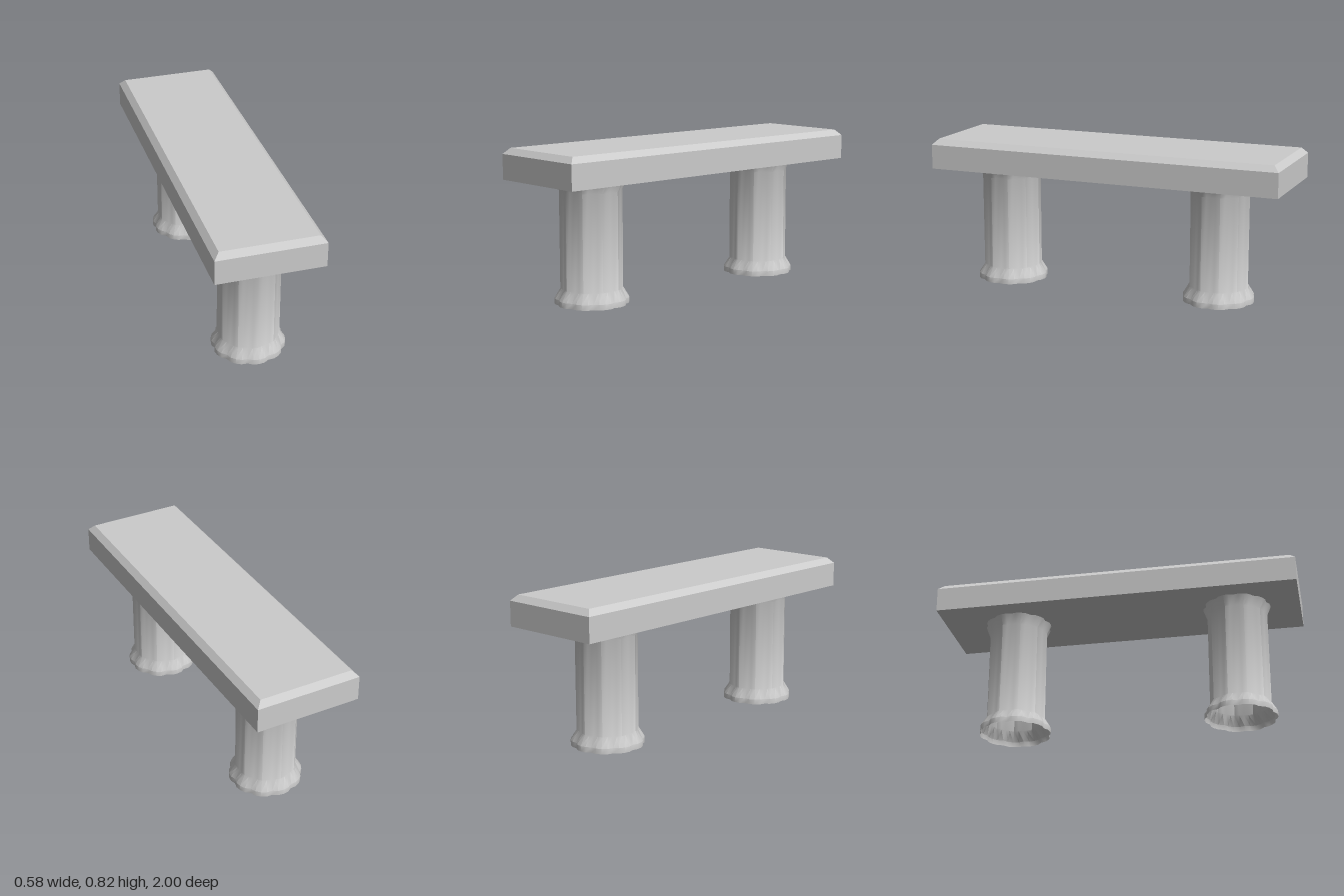
import * as THREE from 'three';
import { toCreasedNormals } from 'three/addons/utils/BufferGeometryUtils.js';

const material = new THREE.MeshStandardMaterial({ color: 0xcccccc, side: THREE.DoubleSide });

const SIDES = 10; // faces of the shaft, lobes of base and capital
const STEP = (Math.PI * 2) / SIDES;
const PER_SIDE = 4; // points per lobe

// Radius of a regular polygon outline with its corners on the lobes
function polygonRadius(r, a) {
  const local = (((a % STEP) + STEP) % STEP) - STEP / 2;
  return (r * Math.cos(STEP / 2)) / Math.cos(local);
}

// Scalloped outline: broad lobes with narrow dips between them
const dip = [0, 0.01, 0.065, 0.01];

// Sections from the ground up: height, radius, scalloped or plain
const sections = [
  { y: 0, r: 0.198, scalloped: true },
  { y: 0.029, r: 0.198, scalloped: true },
  { y: 0.082, r: 0.166, scalloped: false },
  { y: 0.602, r: 0.166, scalloped: false },
  { y: 0.658, r: 0.187, scalloped: true },
];

// Open, hollow column made from the stacked sections
function columnGeometry() {
  const n = SIDES * PER_SIDE;
  const positions = [];
  const index = [];
  sections.forEach(({ y, r, scalloped }, row) => {
    for (let i = 0; i < n; i++) {
      const a = (i / n) * Math.PI * 2;
      const radius = scalloped ? r * (1 - dip[i % PER_SIDE]) : polygonRadius(r, a);
      positions.push(radius * Math.sin(a), y, radius * Math.cos(a));
      if (row === 0) continue;
      const j = (i + 1) % n;
      const low = (row - 1) * n;
      const high = row * n;
      index.push(low + i, low + j, high + j, low + i, high + j, high + i);
    }
  });
  const geometry = new THREE.BufferGeometry();
  geometry.setAttribute('position', new THREE.Float32BufferAttribute(positions, 3));
  geometry.setIndex(index);
  return toCreasedNormals(geometry, 0.6);
}

// Slab with a chamfer around its top edge
function slabGeometry() {
  const bottom = 0.658, shoulder = 0.793, top = 0.825, inset = 0.03;
  const box = new THREE.BoxGeometry(0.58, 2, 2, 1, 2, 1);
  const p = box.attributes.position;
  for (let i = 0; i < p.count; i++) {
    const y = p.getY(i);
    if (y > 0.5) {
      p.setX(i, p.getX(i) - Math.sign(p.getX(i)) * inset);
      p.setZ(i, p.getZ(i) - Math.sign(p.getZ(i)) * inset);
    }
    p.setY(i, y > 0.5 ? top : y < -0.5 ? bottom : shoulder);
  }
  const flat = box.toNonIndexed();
  flat.computeVertexNormals();
  return flat;
}

export function createModel() {
  const group = new THREE.Group();
  group.name = 'bench';

  const slab = new THREE.Mesh(slabGeometry(), material);
  slab.name = 'seat';
  group.add(slab);

  const column = columnGeometry();
  for (const [name, z] of [['frontLeg', 0.65], ['backLeg', -0.6]]) {
    const leg = new THREE.Mesh(column, material);
    leg.name = name;
    leg.position.z = z;
    group.add(leg);
  }
  return group;
}
